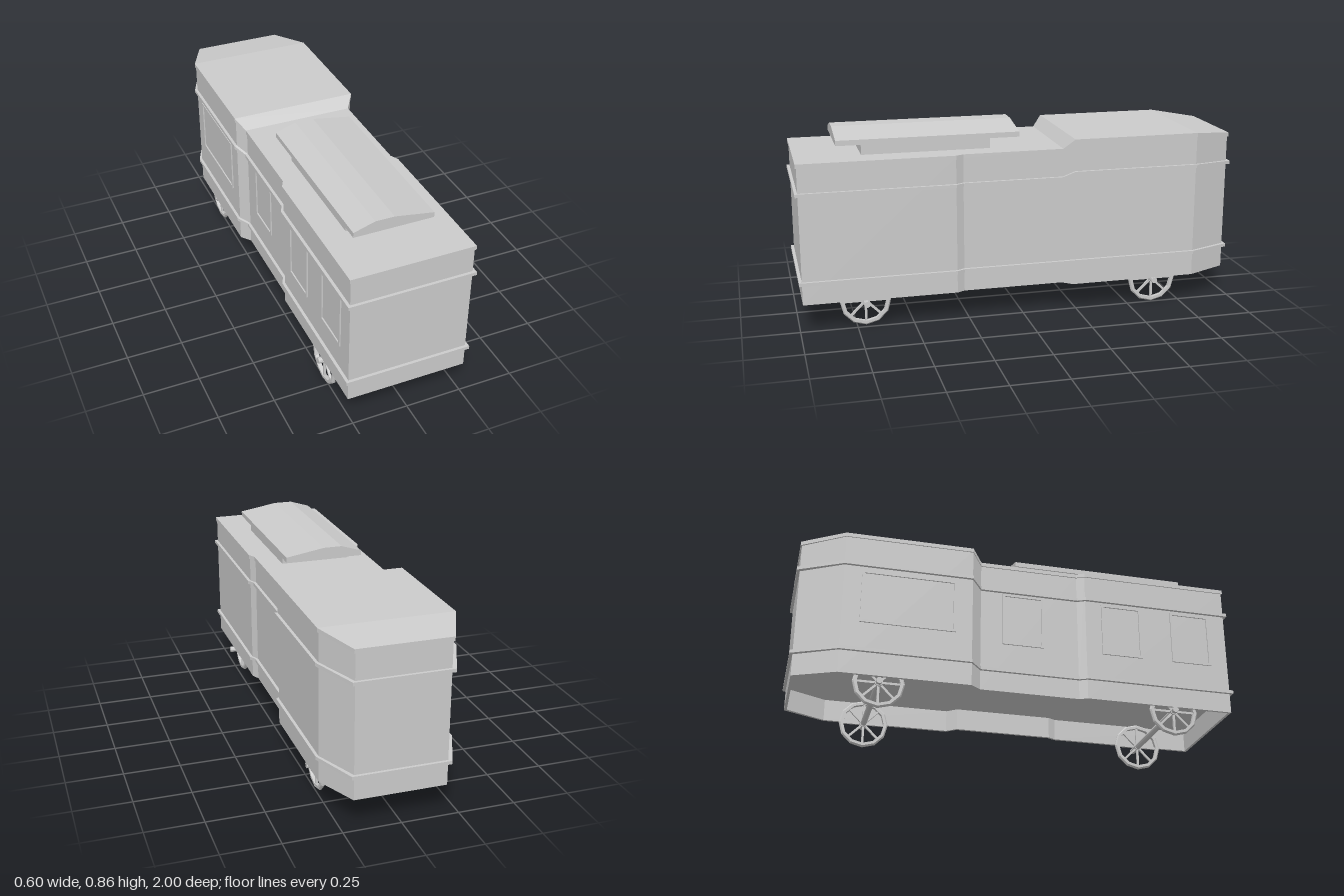
import * as THREE from 'three';

const mat = new THREE.MeshStandardMaterial({ color: 0xcccccc, flatShading: true });

// Stations along the body: z, half width, roof height, upper and lower trim lift
const STATIONS = [
  { z: 0.985, w: 0.268, roof: 0.755, up: 0, low: 0 },
  { z: 0.305, w: 0.268, roof: 0.755, up: 0, low: 0 },
  { z: 0.27, w: 0.25, roof: 0.755, up: 0, low: 0 },
  { z: -0.18, w: 0.25, roof: 0.755, up: 0, low: 0 },
  { z: -0.225, w: 0.286, roof: 0.802, up: 0.03, low: 0.013 },
  { z: -0.8, w: 0.286, roof: 0.802, up: 0.03, low: 0.013 },
  { z: -0.985, w: 0.2, roof: 0.777, up: 0.017, low: 0.008 },
];

// Closed outline around the body, pushed out by offset, at a height given per station
function outline(offset, height) {
  const last = STATIONS.length - 1;
  const right = STATIONS.map((s, i) => {
    const dz = i === 0 ? offset : i === last ? -offset : 0;
    return new THREE.Vector3(s.w + offset, height(s), s.z + dz);
  });
  const left = right.map((p) => new THREE.Vector3(-p.x, p.y, p.z)).reverse();
  return [...right, ...left];
}

function quad(out, a, b, c, d) {
  for (const p of [a, b, c, a, c, d]) out.push(p.x, p.y, p.z);
}

// Skin between successive outlines
function skin(out, loops) {
  for (let k = 0; k < loops.length - 1; k++) {
    const lo = loops[k], hi = loops[k + 1], n = lo.length;
    for (let i = 0; i < n; i++) {
      const j = (i + 1) % n;
      quad(out, lo[i], lo[j], hi[j], hi[i]);
    }
  }
}

// Fill an outline with strips across the body
function cap(out, loop, up) {
  const n = loop.length;
  for (let i = 0; i < n / 2 - 1; i++) {
    const c = [loop[i], loop[i + 1], loop[n - 2 - i], loop[n - 1 - i]];
    quad(out, ...(up ? c : c.reverse()));
  }
}

function toGeometry(out) {
  const g = new THREE.BufferGeometry();
  g.setAttribute('position', new THREE.Float32BufferAttribute(out, 3));
  g.computeVertexNormals();
  return g;
}

function add(parent, name, geometry, x = 0, y = 0, z = 0) {
  const m = new THREE.Mesh(geometry, mat);
  m.name = name;
  m.position.set(x, y, z);
  parent.add(m);
  return m;
}

// Raised strip running all round the body
function band(offset, lo, hi, capped) {
  const out = [];
  const top = outline(offset, hi);
  const loops = [outline(0, lo), outline(offset, lo), top];
  if (!capped) loops.push(outline(0, hi));
  skin(out, loops);
  if (capped) cap(out, top, true);
  return toGeometry(out);
}

function rectangle(PathType, w, h) {
  return new PathType([[-w, -h], [w, -h], [w, h], [-w, h]].map(([x, y]) => new THREE.Vector2(x / 2, y / 2)));
}

// Thin raised window frame on the -x wall
function windowFrame(width, height) {
  const shape = rectangle(THREE.Shape, width, height);
  shape.holes.push(rectangle(THREE.Path, width - 0.022, height - 0.022));
  const g = new THREE.ExtrudeGeometry(shape, { depth: 0.006, bevelEnabled: false });
  return g.rotateY(-Math.PI / 2);
}

// Spoked wheel turning about x
function makeWheel() {
  const wheel = new THREE.Group();
  wheel.name = 'wheel';
  const profile = [[0.094, -0.009], [0.107, -0.009], [0.113, -0.003], [0.113, 0.003], [0.107, 0.009], [0.094, 0.009], [0.094, -0.009]];
  const rim = new THREE.LatheGeometry(profile.map(([r, y]) => new THREE.Vector2(r, y)), 12);
  add(wheel, 'rim', rim.rotateZ(Math.PI / 2));
  add(wheel, 'hub', new THREE.CylinderGeometry(0.018, 0.018, 0.026, 10).rotateZ(Math.PI / 2));
  for (let i = 0; i < 8; i++) {
    const spoke = new THREE.BoxGeometry(0.01, 0.09, 0.01).translate(0, 0.054, 0);
    add(wheel, 'spoke', spoke.rotateX((i * Math.PI) / 4));
  }
  return wheel;
}

export function createModel() {
  const model = new THREE.Group();
  model.name = 'wagon';

  // Hollow-bottomed body shell with a raised floor
  const shell = [];
  const floor = outline(-0.012, () => 0.23);
  skin(shell, [floor, outline(-0.012, () => 0.13), outline(0, () => 0.13), outline(0, (s) => s.roof - 0.01)]);
  cap(shell, floor, false);
  add(model, 'body', toGeometry(shell));

  // Roof with its thin lip, and the two trim strips
  add(model, 'roof', band(0.005, (s) => s.roof - 0.018, (s) => s.roof, true));
  add(model, 'upperTrim', band(0.013, (s) => 0.613 + s.up, (s) => 0.628 + s.up));
  add(model, 'lowerTrim', band(0.013, (s) => 0.22 + s.low, (s) => 0.235 + s.low));

  // Window frames along one side: centre z, width, centre y, wall x
  const windows = [
    [-0.51, 0.42, 0.498, -0.286],
    [0.015, 0.19, 0.483, -0.25],
    [0.475, 0.19, 0.477, -0.268],
    [0.81, 0.19, 0.477, -0.268],
  ];
  for (const [z, width, y, x] of windows) add(model, 'windowFrame', windowFrame(width, 0.25), x, y, z);

  // Raised skylight: base box and overhanging cover
  add(model, 'skylightBase', new THREE.BoxGeometry(0.318, 0.06, 0.57), 0, 0.776, 0.415);
  const cover = new THREE.Shape([[-0.178, 0.803], [0.177, 0.803], [0.177, 0.826], [0, 0.855], [-0.085, 0.855], [-0.178, 0.826]]
    .map(([x, y]) => new THREE.Vector2(x, y)));
  add(model, 'skylightCover', new THREE.ExtrudeGeometry(cover, { depth: 0.81, bevelEnabled: false }));

  // Axles with wheels: z, wheel positions
  for (const [z, xs] of [[0.71, [-0.25, 0.22]], [-0.62, [-0.25, 0.238]]]) {
    add(model, 'axle', new THREE.CylinderGeometry(0.014, 0.014, 0.565, 10).rotateZ(Math.PI / 2), 0, 0.113, z);
    for (const x of xs) {
      const wheel = makeWheel();
      wheel.position.set(x, 0.113, z);
      model.add(wheel);
    }
  }
  return model;
}
